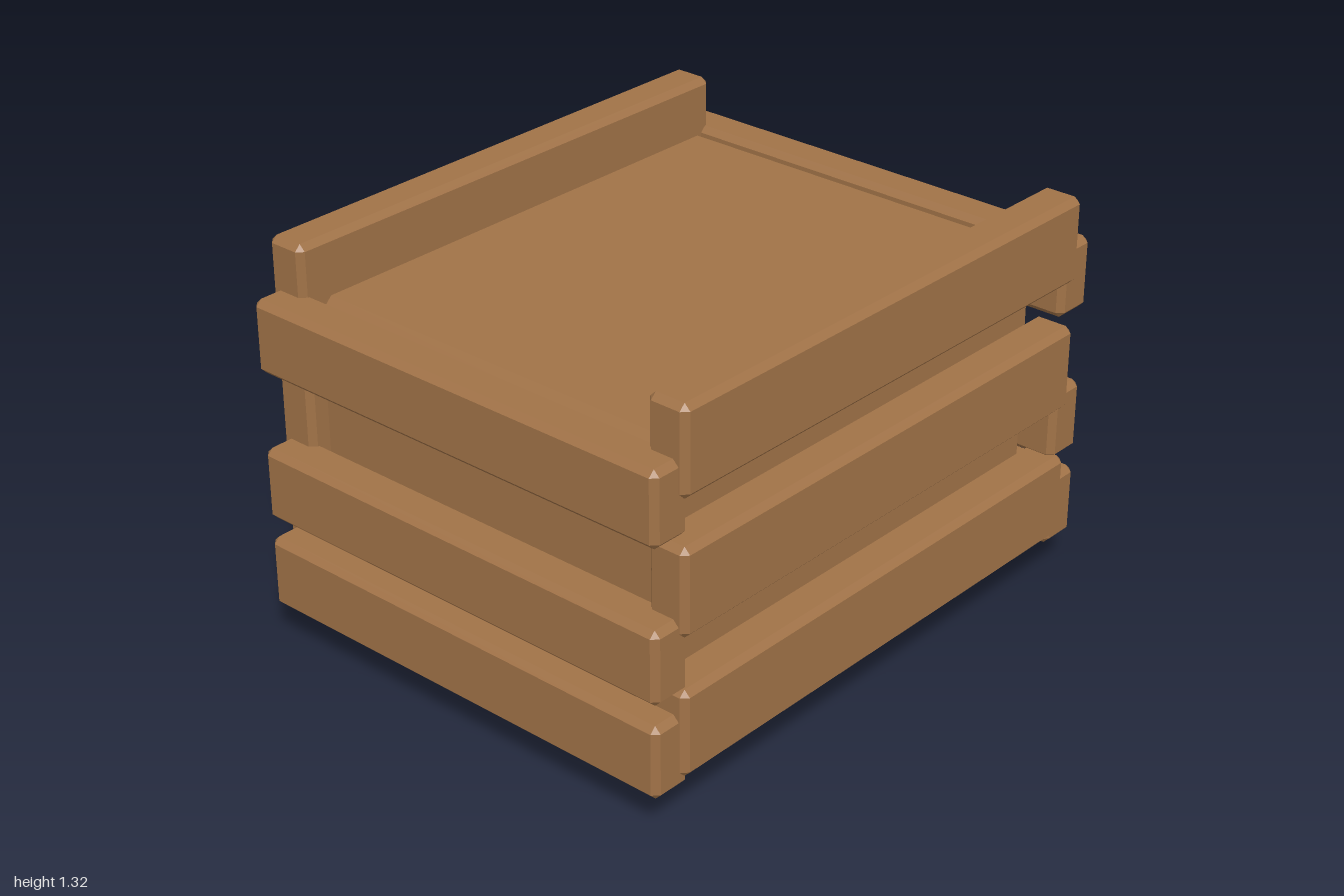
import * as THREE from 'three';
import { ConvexGeometry } from 'three/addons/geometries/ConvexGeometry.js';

// Box with every edge cut at 45 degrees by c
function chamferedBox(w, h, d, c) {
  const points = [];
  for (const sx of [-1, 1]) for (const sy of [-1, 1]) for (const sz of [-1, 1]) {
    const x = w / 2, y = h / 2, z = d / 2;
    points.push(
      new THREE.Vector3(sx * x, sy * (y - c), sz * (z - c)),
      new THREE.Vector3(sx * (x - c), sy * y, sz * (z - c)),
      new THREE.Vector3(sx * (x - c), sy * (y - c), sz * z)
    );
  }
  return new ConvexGeometry(points);
}

export function createModel() {
  const model = new THREE.Group();
  model.name = 'woodenCrate';

  const wood = new THREE.MeshStandardMaterial({ color: 0xa07247 });
  wood.name = 'wood';

  const add = (name, geometry, x, y, z) => {
    const mesh = new THREE.Mesh(geometry, wood);
    mesh.name = name;
    mesh.position.set(x, y, z);
    model.add(mesh);
  };

  // Solid inner box
  const coreHeight = 1.145;
  add('core', chamferedBox(1.38, coreHeight, 1.71, 0.04), 0, coreHeight / 2, 0);

  // Planks across the front and back, [bottom, top]
  for (const [bottom, top] of [[0.11, 0.352], [0.418, 0.66], [0.913, 1.155]]) {
    const plank = chamferedBox(1.58, top - bottom, 0.14, 0.02);
    add('frontPlank', plank, 0, (bottom + top) / 2, 0.93);
    add('backPlank', plank, 0, (bottom + top) / 2, -0.93);
  }

  // Planks along both sides, set higher than the front ones
  for (const [bottom, top] of [[0.147, 0.434], [0.602, 0.888], [1.035, 1.321]]) {
    const plank = chamferedBox(0.14, top - bottom, 1.81, 0.02);
    add('leftPlank', plank, 0.743, (bottom + top) / 2, 0);
    add('rightPlank', plank, -0.743, (bottom + top) / 2, 0);
  }

  return model;
}
